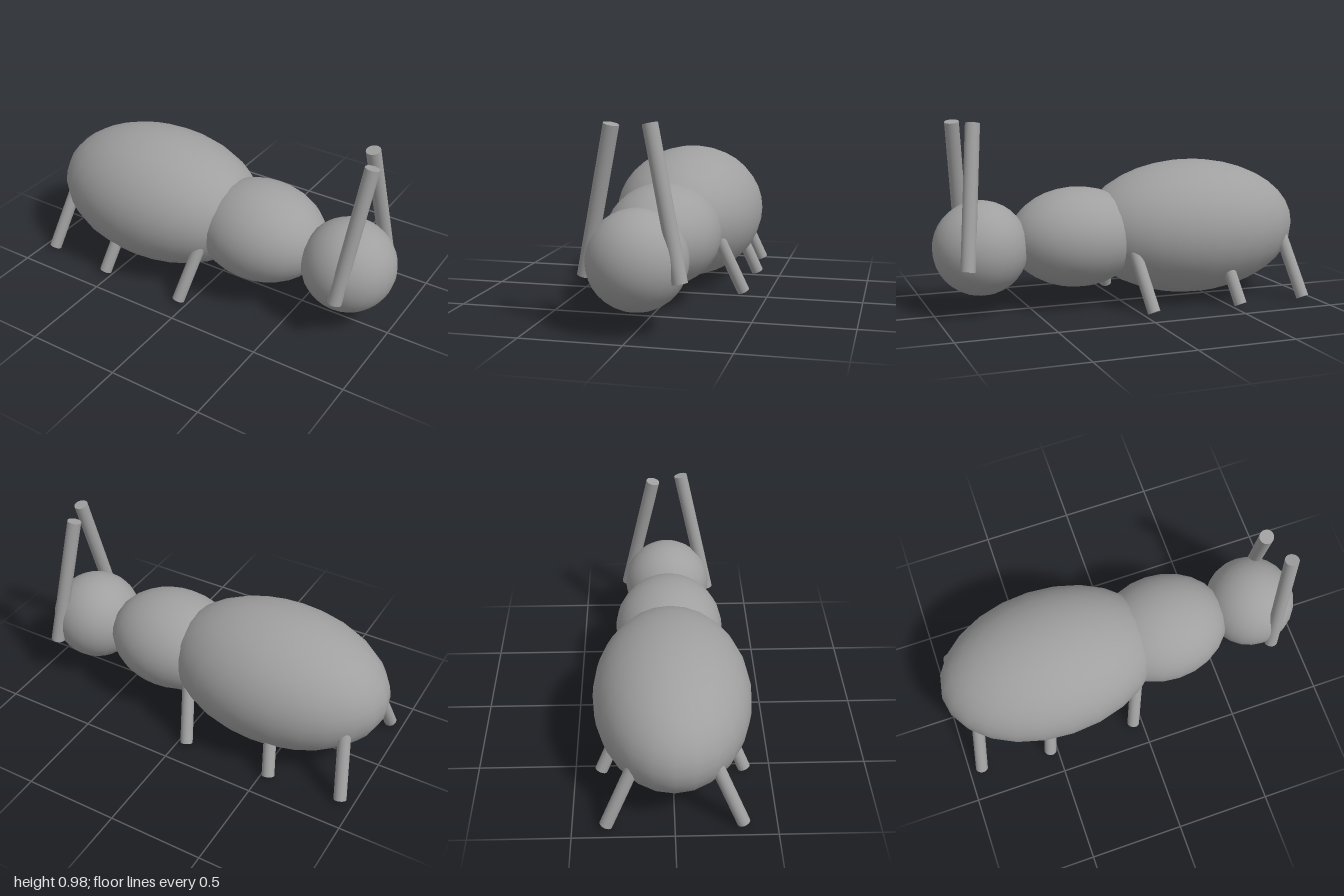
import * as THREE from 'three';

export function createModel() {
  const ant = new THREE.Group();
  ant.name = 'ant';
  const grey = new THREE.MeshStandardMaterial({ name: 'grey', color: 0xa0a0a0 });

  // Smooth ellipsoid body segment
  const segment = (name, center, radii) => {
    const mesh = new THREE.Mesh(new THREE.SphereGeometry(1, 24, 18), grey);
    mesh.name = name;
    mesh.position.set(...center);
    mesh.scale.set(...radii);
    ant.add(mesh);
  };

  // Straight round rod between two points
  const rod = (name, from, to, radius) => {
    const a = new THREE.Vector3(...from), b = new THREE.Vector3(...to);
    const dir = b.clone().sub(a);
    const mesh = new THREE.Mesh(new THREE.CylinderGeometry(radius, radius, dir.length(), 24), grey);
    mesh.name = name;
    mesh.position.copy(a).add(b).multiplyScalar(0.5);
    mesh.quaternion.setFromUnitVectors(new THREE.Vector3(0, 1, 0), dir.normalize());
    ant.add(mesh);
  };

  // Body, from tail to head
  segment('abdomen', [-0.4, 0.388, 0], [0.602, 0.361, 0.402]);
  segment('thorax', [0.24, 0.365, 0], [0.36, 0.262, 0.294]);
  segment('head', [0.755, 0.338, 0], [0.245, 0.243, 0.245]);

  // Three mirrored pairs of legs, running up into the abdomen
  const legs = [['rearLeg', -0.93, 0.335], ['middleLeg', -0.54, 0.367], ['frontLeg', -0.05, 0.367]];
  for (const [name, x, z] of legs) {
    for (const side of [1, -1]) {
      rod(name, [x, 0.015, side * z], [x + 0.075, 0.4, side * (z - 0.165)], 0.033);
    }
  }

  // Antennae, leaning opposite ways along the head
  rod('antenna', [0.8, 0.265, 0.238], [0.872, 0.977, 0.082], 0.037);
  rod('antenna', [0.872, 0.265, -0.232], [0.8, 0.977, -0.077], 0.037);

  return ant;
}
